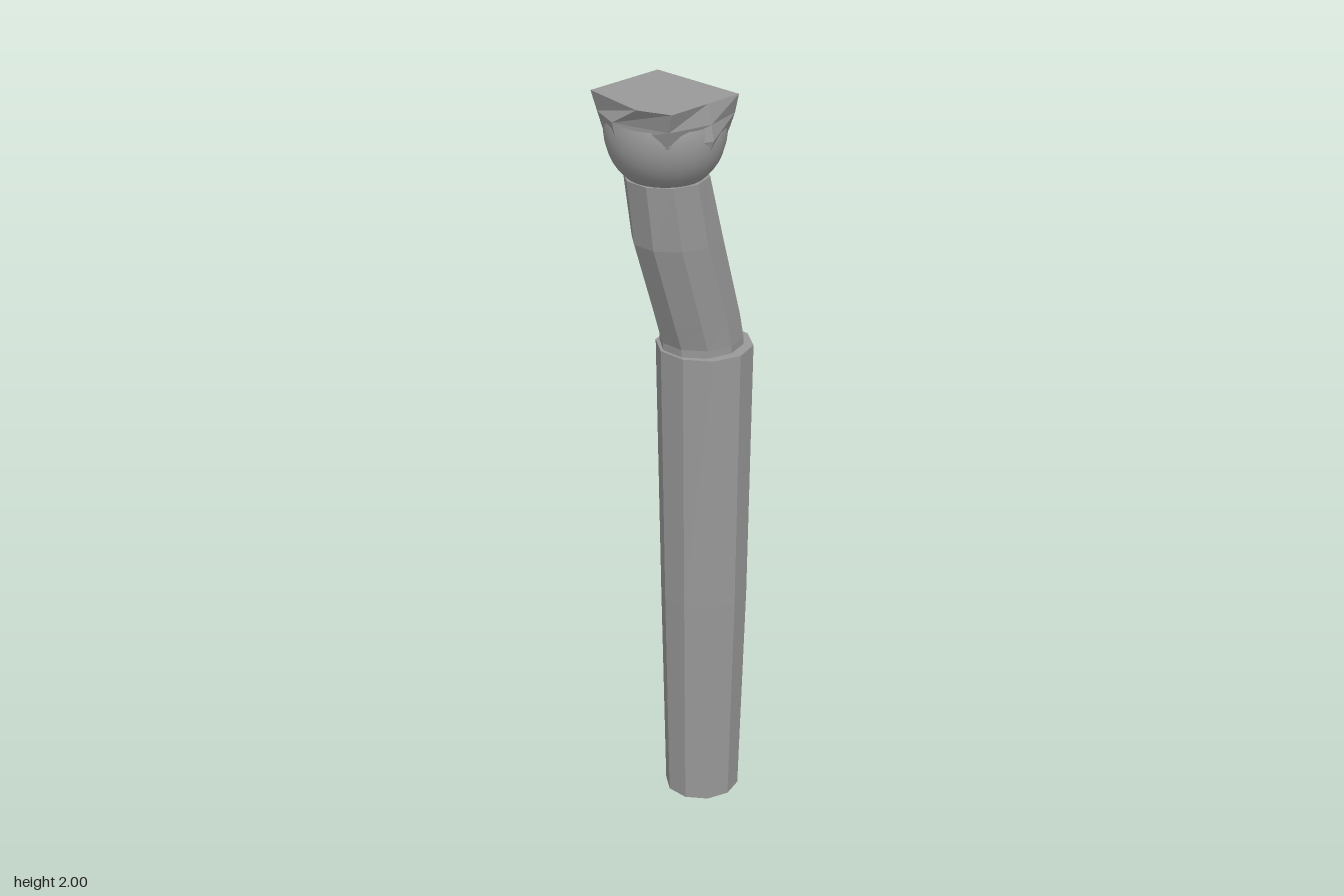
import * as THREE from 'three';

// Skin between rings of [x, y, z] points, closed with a fan at both ends
function loft(rings) {
  const pos = [];
  const tri = (a, b, c) => pos.push(...a, ...b, ...c);
  const n = rings[0].length;
  const mid = (r) => [0, 1, 2].map((k) => r.reduce((s, p) => s + p[k], 0) / n);
  const last = rings[rings.length - 1];
  for (let i = 0; i < n; i++) {
    const j = (i + 1) % n;
    for (let k = 0; k + 1 < rings.length; k++) {
      const lo = rings[k], hi = rings[k + 1];
      tri(lo[i], hi[i], lo[j]);
      tri(hi[i], hi[j], lo[j]);
    }
    tri(mid(rings[0]), rings[0][i], rings[0][j]);
    tri(mid(last), last[j], last[i]);
  }
  const geo = new THREE.BufferGeometry();
  geo.setAttribute('position', new THREE.Float32BufferAttribute(pos, 3));
  geo.computeVertexNormals();
  return geo;
}

// Ten-sided ring with a flat facing +x
function ring(cx, y, cz, rx, rz) {
  return Array.from({ length: 10 }, (_, i) => {
    const a = ((i + 0.5) / 10) * Math.PI * 2;
    return [cx + rx * Math.cos(a), y, cz + rz * Math.sin(a)];
  });
}

export function createModel() {
  const group = new THREE.Group();
  const grey = new THREE.MeshStandardMaterial({ color: 0x999999 });
  grey.name = 'plain grey';
  const add = (name, geo) => {
    const mesh = new THREE.Mesh(geo, grey);
    mesh.name = name;
    group.add(mesh);
    return mesh;
  };

  // Long tapering sleeve
  add('sleeve', loft([
    ring(0.08, 0, 0.005, 0.1, 0.098),
    ring(0.08, 0.6, 0.009, 0.115, 0.113),
    ring(0.082, 1.31, 0.006, 0.124, 0.126),
  ]));

  // Bent upper shaft leaning out of the sleeve
  add('upperShaft', loft([
    ring(0.077, 1.28, 0, 0.11, 0.104),
    ring(0.077, 1.33, 0, 0.111, 0.105),
    ring(0.058, 1.4, 0, 0.116, 0.106),
    ring(-0.01, 1.62, 0, 0.122, 0.108),
    ring(-0.047, 1.79, 0, 0.108, 0.106),
  ]));

  // Rounded underside of the head
  const bowl = add('headBowl', new THREE.SphereGeometry(0.15, 24, 12, 0, Math.PI * 2, Math.PI * 0.42, Math.PI * 0.58));
  bowl.position.set(-0.05, 1.905, 0);

  // Faceted crown: points run right, front right, front, front left, left, back left, back, back right
  const crown = [
    [1.8, [[0.05, 0], [0.02, 0.07], [-0.05, 0.1], [-0.11, 0.07], [-0.145, 0], [-0.11, -0.07], [-0.05, -0.1], [0.02, -0.07]]],
    [1.86, [[0.088, 0], [0.045, 0.095], [-0.05, 0.14], [-0.145, 0.095], [-0.183, 0], [-0.145, -0.095], [-0.05, -0.14], [0.045, -0.095]]],
    [1.91, [[0.104, 0], [0.058, 0.11], [-0.047, 0.157], [-0.155, 0.11], [-0.197, -0.02], [-0.155, -0.11], [-0.047, -0.16], [0.058, -0.11]]],
    [1.95, [[0.112, -0.01], [0.06, 0.125], [-0.047, 0.15], [-0.162, 0.122], [-0.2, -0.03], [-0.162, -0.12], [-0.047, -0.151], [0.06, -0.122]]],
    [2, [[0.057, 0], [0.057, 0.14], [-0.05, 0.14], [-0.17, 0.14], [-0.202, 0.055], [-0.17, -0.133], [-0.05, -0.133], [0.057, -0.133]]],
  ];
  add('headCrown', loft(crown.map(([y, pts]) => pts.map(([x, z]) => [x, y, z]))));

  // Chipped ridge on the left side of the head
  add('headRidge', loft([
    [[0.09, 1.88, -0.03], [0.07, 1.88, 0.06], [0.03, 1.88, 0], [0.06, 1.88, -0.08]],
    [[0.115, 1.945, -0.005], [0.085, 1.945, 0.08], [0.03, 1.945, 0], [0.075, 1.945, -0.1]],
    [[0.09, 1.985, -0.04], [0.065, 1.975, 0.07], [0.03, 1.975, 0], [0.065, 1.985, -0.11]],
  ]));

  return group;
}
